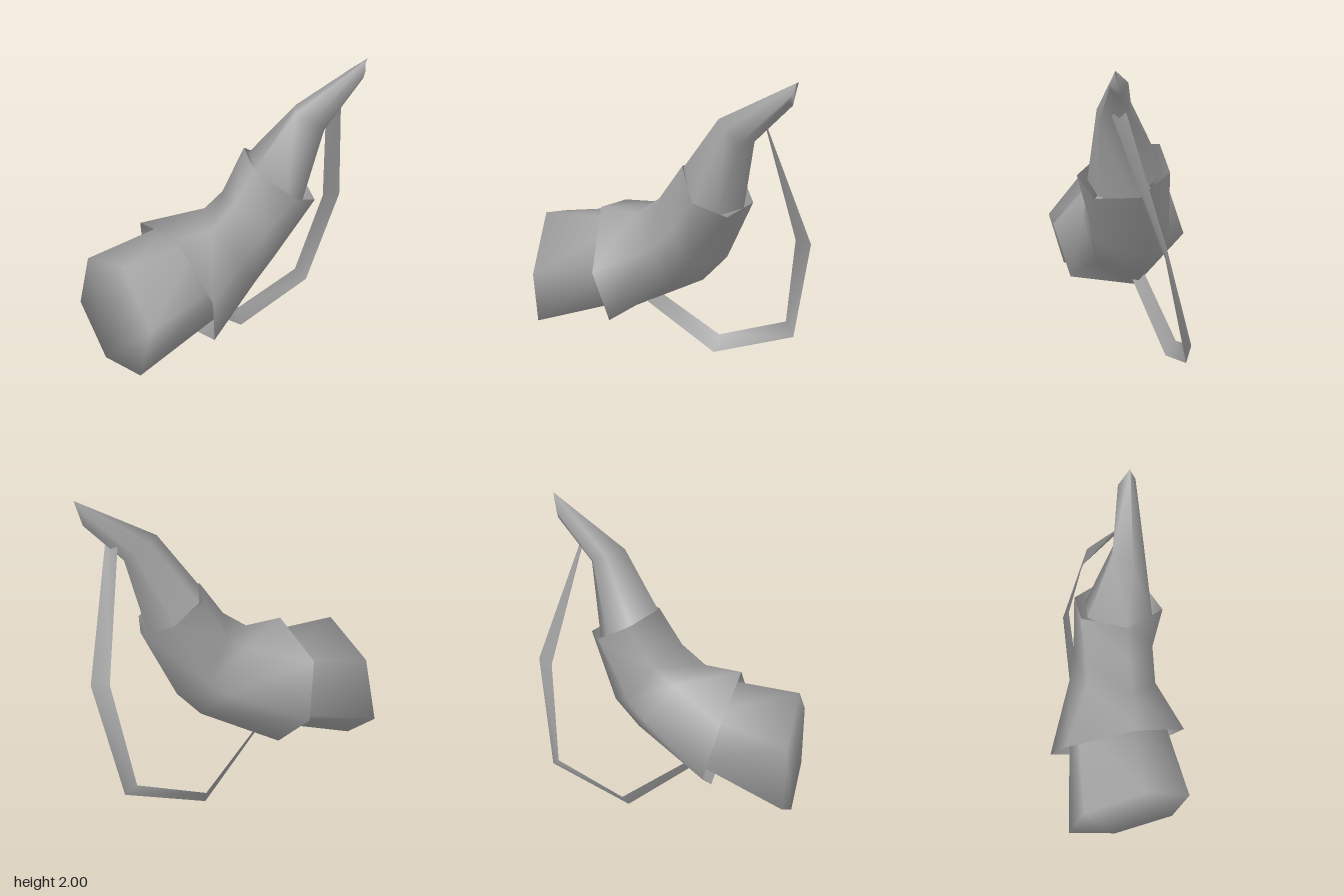
import * as THREE from 'three';

// Skin a series of six-cornered rings into a smooth tube, with optional end caps
function loft(rings, capStart, capEnd) {
  const n = rings[0].length, last = (rings.length - 1) * n, index = [];
  for (let r = 0; r < rings.length - 1; r++) {
    for (let i = 0; i < n; i++) {
      const a = r * n + i, b = r * n + (i + 1) % n;
      index.push(a, b, a + n, b, b + n, a + n);
    }
  }
  for (let i = 1; i < n - 1; i++) {
    const a = (3 + i) % n, b = (4 + i) % n;
    if (capStart) index.push(3, b, a);
    if (capEnd) index.push(last + 3, last + a, last + b);
  }
  return surface(rings, index);
}

// Flat ribbon between pairs of edge points
function ribbon(pairs) {
  const index = [];
  for (let a = 0; a < (pairs.length - 1) * 2; a += 2) {
    index.push(a, a + 1, a + 2, a + 1, a + 3, a + 2);
  }
  return surface(pairs, index);
}

function surface(points, index) {
  const g = new THREE.BufferGeometry();
  g.setAttribute('position', new THREE.Float32BufferAttribute(points.flat(2), 3));
  g.setIndex(index);
  g.computeVertexNormals();
  return g;
}

export function createModel() {
  const group = new THREE.Group();
  group.name = 'horn';
  const grey = new THREE.MeshStandardMaterial({ color: 0xa0a0a0, side: THREE.DoubleSide });
  grey.name = 'grey';
  const add = (name, geometry) => {
    const mesh = new THREE.Mesh(geometry, grey);
    mesh.name = name;
    group.add(mesh);
  };

  // Wide mouth, running into the sleeve
  add('mouth', loft([
    [[-0.54, 0.96, 0.48], [-0.36, 0.64, 0.69], [-0.44, 0.27, 0.62],
      [-0.70, 0.19, 0.33], [-0.89, 0.45, 0.09], [-0.81, 0.83, 0.17]],
    [[-0.09, 0.98, 0.10], [0.06, 0.75, 0.26], [0.06, 0.50, 0.20],
      [-0.10, 0.44, -0.06], [-0.30, 0.60, -0.21], [-0.33, 0.94, -0.12]],
  ], true, false));

  // Curved middle sleeve, open at both ends
  add('sleeve', loft([
    [[-0.24, 1.04, 0.25], [0.0, 0.72, 0.47], [0.0, 0.37, 0.35],
      [-0.28, 0.27, 0.0], [-0.51, 0.59, -0.24], [-0.51, 0.94, -0.11]],
    [[-0.04, 1.03, 0.12], [0.16, 0.84, 0.18], [0.23, 0.61, 0.05],
      [0.18, 0.57, -0.25], [-0.02, 0.78, -0.34], [-0.10, 1.03, -0.17]],
    [[0.09, 1.15, 0.03], [0.31, 1.02, 0.08], [0.35, 0.78, 0.0],
      [0.31, 0.75, -0.34], [0.10, 0.88, -0.38], [0.01, 1.12, -0.24]],
    [[0.22, 1.38, -0.05], [0.48, 1.24, 0.06], [0.60, 1.15, -0.11],
      [0.52, 1.17, -0.37], [0.29, 1.27, -0.46], [0.14, 1.39, -0.33]],
  ], false, false));

  // Bent, narrow tip
  add('tip', loft([
    [[0.22, 1.37, -0.06], [0.42, 1.20, 0.02], [0.52, 1.14, -0.10],
      [0.48, 1.13, -0.33], [0.30, 1.25, -0.39], [0.17, 1.37, -0.30]],
    [[0.46, 1.72, -0.14], [0.56, 1.68, -0.11], [0.64, 1.61, -0.16],
      [0.63, 1.60, -0.28], [0.55, 1.66, -0.32], [0.46, 1.72, -0.28]],
    [[0.88, 1.99, -0.37], [0.88, 1.93, -0.34], [0.87, 1.89, -0.335],
      [0.84, 1.85, -0.385], [0.80, 1.92, -0.415], [0.89, 2.0, -0.38]],
  ], false, true));

  // Carrying strap hanging from tip to belly
  add('strap', ribbon([
    [[0.65, 1.71, -0.335], [0.74, 1.71, -0.285]],
    [[0.66, 0.92, -0.60], [0.77, 0.92, -0.63]],
    [[0.49, 0.28, -0.69], [0.57, 0.20, -0.69]],
    [[0.11, 0.105, -0.44], [0.13, 0.0, -0.38]],
    [[-0.14, 0.41, -0.12], [-0.15, 0.37, -0.02]],
  ]));
  return group;
}
